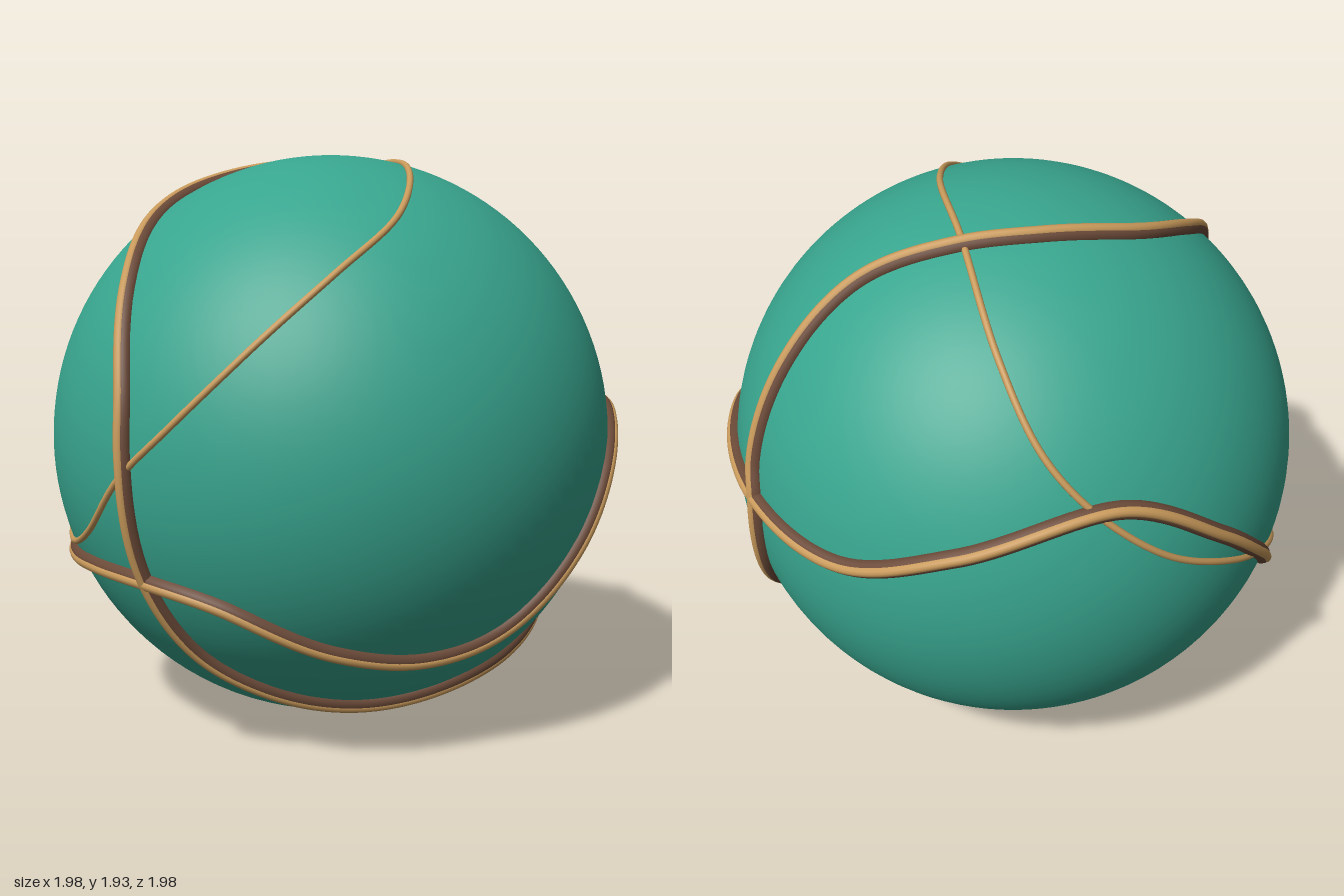
import * as THREE from 'three';

const R = 0.966;
const CENTRE = new THREE.Vector3(0.013, R, 0);

// Closed curve through directions from the ball centre, kept at a fixed radius
class BallCurve extends THREE.Curve {
  constructor(points, radius) {
    super();
    this.radius = radius;
    this.spline = new THREE.CatmullRomCurve3(
      points.map(p => new THREE.Vector3(...p).setLength(R)), true, 'centripetal');
  }
  getPoint(t, target = new THREE.Vector3()) {
    return this.spline.getPoint(t, target).setLength(this.radius);
  }
}

// Seam that wraps around the sides
const sideLoop = [
  [-0.16, -0.37, 0.88], [0.1, -0.42, 0.87], [0.39, -0.57, 0.68], [0.59, -0.62, 0.456],
  [0.747, -0.565, 0.25], [0.917, -0.317, 0], [0.946, -0.067, -0.2], [0.88, 0.083, -0.4],
  [0.755, 0.115, -0.6], [0.42, 0.105, -0.87], [-0.012, 0.103, -0.974], [-0.377, 0.235, -0.873],
  [-0.742, 0.353, -0.533], [-0.939, 0.143, -0.239], [-0.97, -0.08, 0], [-0.873, -0.337, 0.285],
  [-0.61, -0.375, 0.65], [-0.41, -0.365, 0.8],
];

// Seam that runs over the top and under the bottom
const uprightLoop = [
  [-0.195, 0.03, 0.95], [-0.215, 0.235, 0.92], [-0.315, 0.535, 0.745], [-0.43, 0.8, 0.35],
  [-0.39, 0.88, 0.1], [-0.215, 0.93, -0.15], [-0.013, 0.914, -0.32], [0.237, 0.8, -0.5],
  [0.387, 0.56, -0.7], [0.45, 0.23, -0.84], [0.43, 0.1, -0.87], [0.45, -0.167, -0.84],
  [0.53, -0.417, -0.7], [0.605, -0.567, -0.5], [0.655, -0.687, -0.2], [0.585, -0.767, 0.1],
  [0.31, -0.827, 0.4], [0.09, -0.747, 0.612], [-0.065, -0.617, 0.745], [-0.163, -0.367, 0.88],
];

// Fine seam that crosses the front, the top and one side
const fineLoop = [
  [-0.013, 0.133, 0.96], [0.187, 0.333, 0.89], [0.387, 0.583, 0.67], [0.457, 0.753, 0.4],
  [0.287, 0.926, 0], [-0.013, 0.92, -0.3], [-0.313, 0.735, -0.55], [-0.513, 0.53, -0.63],
  [-0.672, 0.375, -0.606], [-0.853, 0.17, -0.451], [-0.964, 0, -0.179], [-0.943, -0.167, 0.16],
  [-0.813, -0.307, 0.43], [-0.613, -0.327, 0.68], [-0.413, -0.237, 0.85], [-0.213, -0.037, 0.945],
];

function material(name, color) {
  const m = new THREE.MeshStandardMaterial({ color });
  m.name = name;
  return m;
}

export function createModel() {
  const teal = material('teal', 0x38a58e);
  const brown = material('brown', 0x6b4a38);
  const tan = material('tan', 0xc99a5b);

  const model = new THREE.Group();
  model.name = 'seamedBall';

  const add = (name, geometry, mat) => {
    const mesh = new THREE.Mesh(geometry, mat);
    mesh.name = name;
    mesh.position.copy(CENTRE);
    model.add(mesh);
  };
  const cord = (name, points, centreRadius, thickness, mat) =>
    add(name, new THREE.TubeGeometry(new BallCurve(points, centreRadius), 260, thickness, 12, true), mat);

  add('ball', new THREE.SphereGeometry(R, 96, 64), teal);

  // Each thick seam is a brown cord with a raised tan cord along its crest
  for (const [name, points] of [['sideSeam', sideLoop], ['uprightSeam', uprightLoop]]) {
    cord(name + 'Base', points, R, 0.03, brown);
    cord(name + 'Crest', points, R + 0.017, 0.018, tan);
  }
  cord('fineSeam', fineLoop, R + 0.003, 0.011, tan);

  return model;
}
